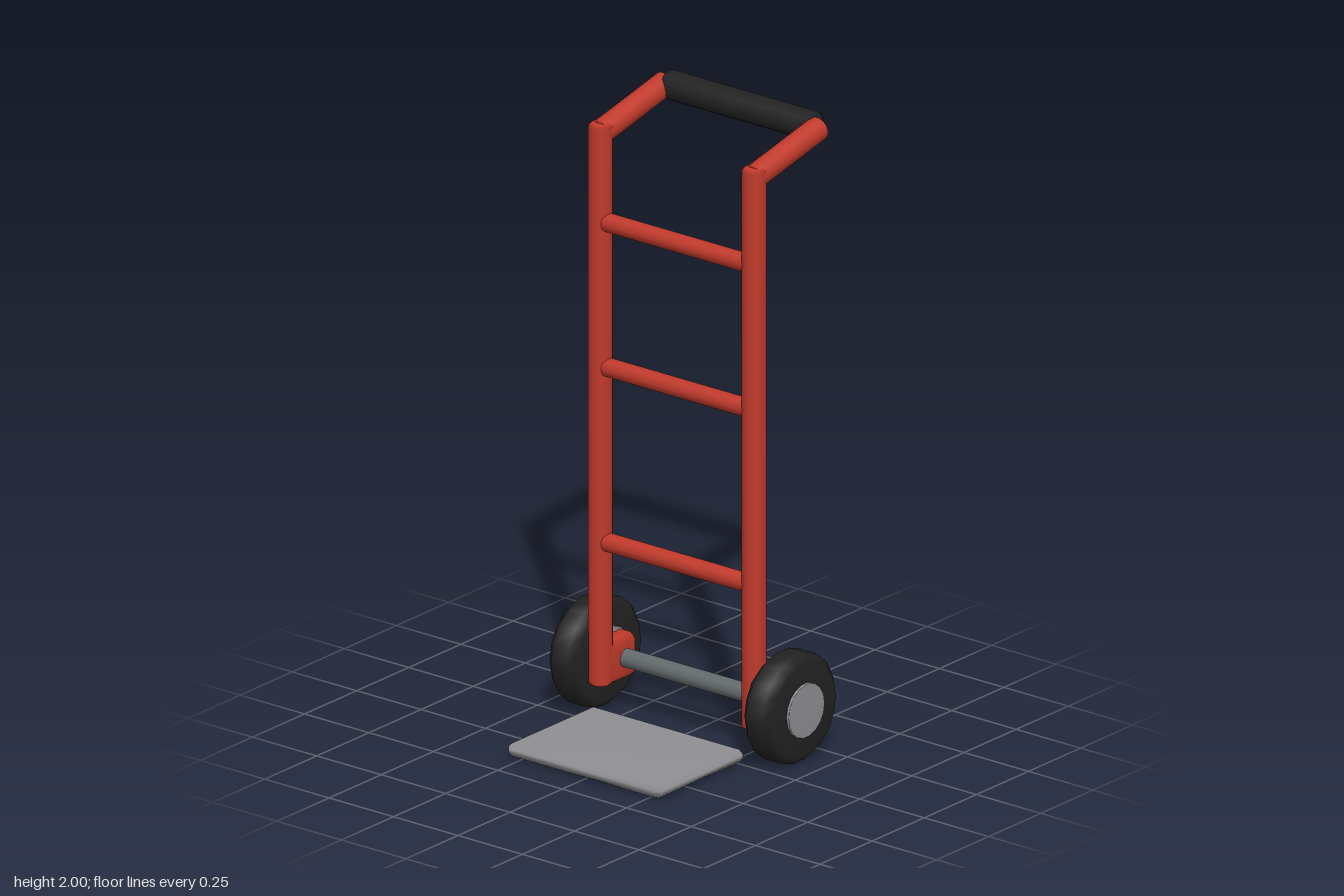
import * as THREE from 'three';
import { mergeVertices } from 'three/addons/utils/BufferGeometryUtils.js';
import { ConvexGeometry } from 'three/addons/geometries/ConvexGeometry.js';

const material = (name, color) => {
  const m = new THREE.MeshStandardMaterial({ color });
  m.name = name;
  return m;
};

// Cylinder along y with bevelled ends and soft normals
function bevelledRod(radius, length, bevel, sides) {
  const h = length / 2;
  const profile = [
    [0, -h], [radius - bevel, -h], [radius, -h + bevel],
    [radius, h - bevel], [radius - bevel, h], [0, h],
  ].map(([r, y]) => new THREE.Vector2(r, y));
  return new THREE.LatheGeometry(profile, sides);
}

// Box with chamfered edges and normals shared across them
function bevelledBox(w, h, d, bevel) {
  const points = [];
  const half = [w / 2, h / 2, d / 2];
  for (const sx of [-1, 1]) for (const sy of [-1, 1]) for (const sz of [-1, 1]) {
    for (let axis = 0; axis < 3; axis++) {
      const c = half.map((v, i) => (i === axis ? v : v - bevel));
      points.push(new THREE.Vector3(c[0] * sx, c[1] * sy, c[2] * sz));
    }
  }
  let geometry = new ConvexGeometry(points);
  geometry.deleteAttribute('normal');
  geometry = mergeVertices(geometry, 1e-4);
  geometry.computeVertexNormals();
  return geometry;
}

export function createModel() {
  const group = new THREE.Group();
  group.name = 'handTruck';

  const red = material('red paint', 0xc0392b);
  const black = material('black rubber', 0x222222);
  const grey = material('light steel', 0x8f8f94);
  const steel = material('dark steel', 0x636a6c);

  const add = (name, geometry, mat, x, y, z) => {
    const mesh = new THREE.Mesh(geometry, mat);
    mesh.name = name;
    mesh.position.set(x, y, z);
    group.add(mesh);
    return mesh;
  };
  const addCrossRod = (name, radius, length, bevel, sides, mat, x, y, z) => {
    const mesh = add(name, bevelledRod(radius, length, bevel, sides), mat, x, y, z);
    mesh.rotation.z = -Math.PI / 2;
    return mesh;
  };

  const railZ = -0.052, axleY = 0.175, axleZ = -0.126;
  const gripY = 1.955, gripZ = -0.362;

  for (const side of [-1, 1]) {
    const label = side > 0 ? 'left' : 'right';
    const x = side * 0.298;

    // Upright rail
    add(label + 'Rail', bevelledRod(0.038, 1.815, 0.01, 16), red, x, 1.0125, railZ);

    // Arm leaning back from the rail to the grip
    const dy = gripY - 1.888, dz = gripZ - railZ;
    const arm = add(label + 'HandleArm', bevelledRod(0.039, Math.hypot(dy, dz), 0.003, 16),
      red, x, (gripY + 1.888) / 2, (gripZ + railZ) / 2);
    arm.rotation.x = Math.atan2(dz, dy);

    // Bracket joining rail and axle
    add(label + 'AxleBracket', bevelledBox(0.08, 0.14, 0.14, 0.018), red, x, axleY, -0.115);

    // Wheel
    addCrossRod(label + 'Tyre', 0.175, 0.112, 0.025, 18, black, side * 0.378, axleY, axleZ);
    addCrossRod(label + 'Hub', 0.087, 0.13, 0.002, 18, grey, side * 0.378, axleY, axleZ);
  }

  // Rungs
  for (const y of [0.571, 1.137, 1.605]) {
    addCrossRod('rung', 0.03, 0.56, 0.01, 14, red, 0, y, -0.05);
  }

  addCrossRod('axle', 0.03, 0.76, 0.004, 14, steel, 0, axleY + 0.002, axleZ);
  addCrossRod('grip', 0.046, 0.596, 0.018, 16, black, 0, gripY, gripZ);

  // Toe plate
  add('toePlate', bevelledBox(0.596, 0.042, 0.42, 0.015), grey, 0, 0.029, 0.196);

  return group;
}
